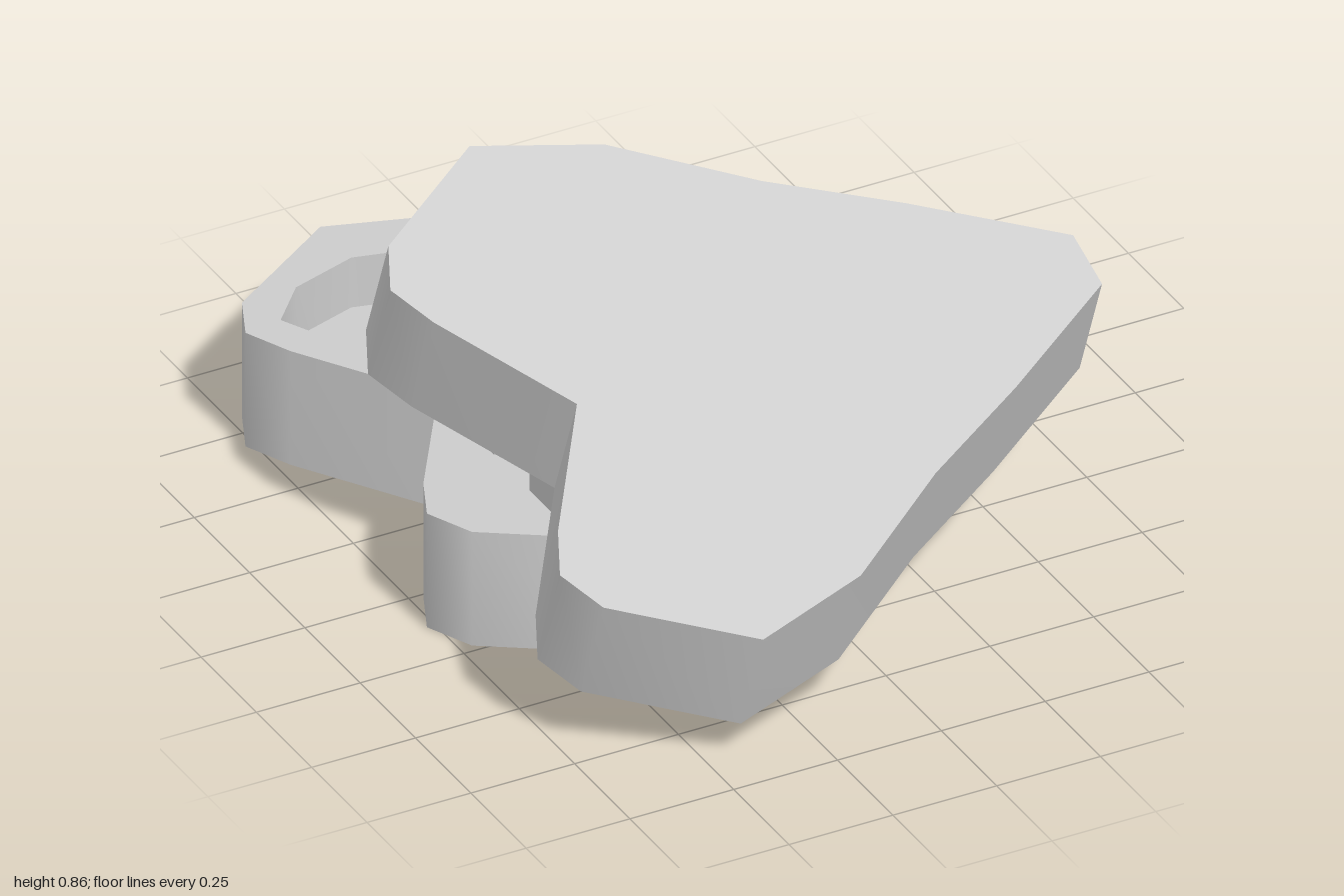
import * as THREE from 'three';
import { toCreasedNormals } from 'three/addons/utils/BufferGeometryUtils.js';

const HEIGHT = 0.285;
const FLOOR = 0.16;
const BASE_Z = -0.29;

// Half outlines [x, half width], from the pointed end round to the notch
const LOBE = [[0.13, 0.42], [-0.15, 0.62], [-0.43, 0.71], [-0.72, 0.52], [-0.77, 0.41], [-0.72, 0.3], [-0.525, 0]];
const BASE = [[0.76, 0.075], [0.56, 0.17], [0.4, 0.27], ...LOBE];
const LID = [[0.705, 0.07], [0.4, 0.265], ...LOBE];
const CAVITY = [[0.625, 0], [0.61, 0.075], [0.56, 0.12], [0.4, 0.19], [0.13, 0.33], [-0.15, 0.5],
  [-0.43, 0.57], [-0.59, 0.52], [-0.68, 0.42], [-0.47, 0]];

// Mirror a half outline into a closed heart
function heart(half) {
  const mirrored = half.filter(p => p[1] > 0).reverse().map(([x, v]) => [x, -v]);
  return [...half, ...mirrored].map(([x, v]) => new THREE.Vector2(x, v));
}

// Extrude a heart upward from y = 0
function slab(outline, depth, hole) {
  const shape = new THREE.Shape(heart(outline));
  if (hole) shape.holes.push(new THREE.Path(heart(hole)));
  const geometry = new THREE.ExtrudeGeometry(shape, { depth, bevelEnabled: false });
  geometry.rotateX(-Math.PI / 2);
  return toCreasedNormals(geometry, 1.0);
}

export function createModel() {
  const model = new THREE.Group();
  model.name = 'heartBox';
  const material = new THREE.MeshStandardMaterial({ color: 0xcccccc });

  function add(parent, name, geometry, x = 0, y = 0, z = 0) {
    const mesh = new THREE.Mesh(geometry, material);
    mesh.name = name;
    mesh.position.set(x, y, z);
    parent.add(mesh);
    return mesh;
  }

  // Open tray: wall ring and raised floor
  const tray = new THREE.Group();
  tray.name = 'tray';
  tray.position.z = BASE_Z;
  model.add(tray);
  add(tray, 'trayWall', slab(BASE, HEIGHT, CAVITY));
  add(tray, 'trayFloor', slab(CAVITY, FLOOR));

  // Chocolates in rows of three, two and one
  const size = 0.19, tall = 0.09;
  const chocolate = new THREE.BoxGeometry(size, tall, size);
  for (let row = 0; row < 3; row++) {
    const count = 3 - row;
    for (let i = 0; i < count; i++) {
      add(tray, 'chocolate', chocolate, -0.345 + row * 0.303, FLOOR + tall / 2, (i - (count - 1) / 2) * 0.35);
    }
  }

  // Solid lid leaning on the front of the tray
  const lidGeometry = slab(LID, HEIGHT);
  lidGeometry.translate(0, -HEIGHT / 2, 0);
  const lid = add(model, 'lid', lidGeometry, 0, 0.475, 0.2875);
  lid.rotation.x = THREE.MathUtils.degToRad(20.8);

  return model;
}
